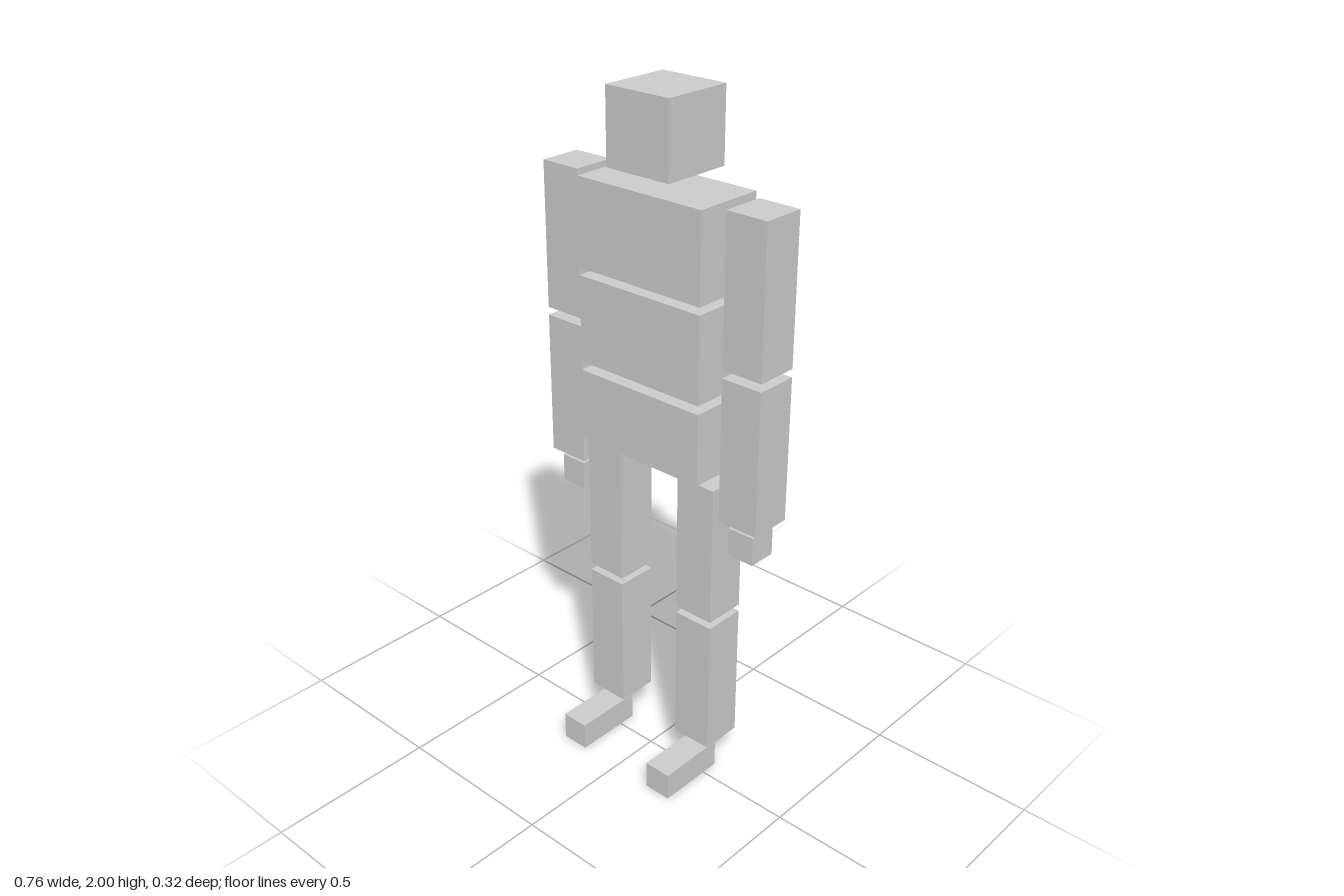
import * as THREE from 'three';

export function createModel() {
  const model = new THREE.Group();
  const material = new THREE.MeshStandardMaterial({ color: 0xcccccc, flatShading: true });

  // Adds a box given its width, height, depth and the position of its centre
  const addBox = (name, [w, h, d], [x, y, z]) => {
    const mesh = new THREE.Mesh(new THREE.BoxGeometry(w, h, d), material);
    mesh.name = name;
    mesh.position.set(x, y, z);
    model.add(mesh);
  };

  const bodyZ = -0.054;
  const limb = [0.126, 0.42, 0.126];

  // Head and the three stacked torso blocks
  addBox('head', [0.21, 0.208, 0.21], [0, 1.896, bodyZ]);
  addBox('chest', [0.42, 0.25, 0.21], [0, 1.625, bodyZ]);
  addBox('abdomen', [0.42, 0.25, 0.21], [0, 1.354, bodyZ]);
  addBox('pelvis', [0.42, 0.21, 0.21], [0, 1.099, bodyZ]);

  // Arms and legs, mirrored
  for (const [side, s] of [['left', 1], ['right', -1]]) {
    const armX = s * 0.316;
    const legX = s * 0.169;
    addBox(`${side}UpperArm`, limb, [armX, 1.54, bodyZ]);
    addBox(`${side}Forearm`, limb, [armX, 1.097, bodyZ]);
    addBox(`${side}Hand`, [0.084, 0.084, 0.084], [s * 0.315, 0.824, -0.052]);
    addBox(`${side}Thigh`, limb, [legX, 0.76, bodyZ]);
    addBox(`${side}Shin`, limb, [legX, 0.319, bodyZ]);
    addBox(`${side}Foot`, [0.084, 0.084, 0.21], [legX, 0.042, 0.053]);
  }
  return model;
}
